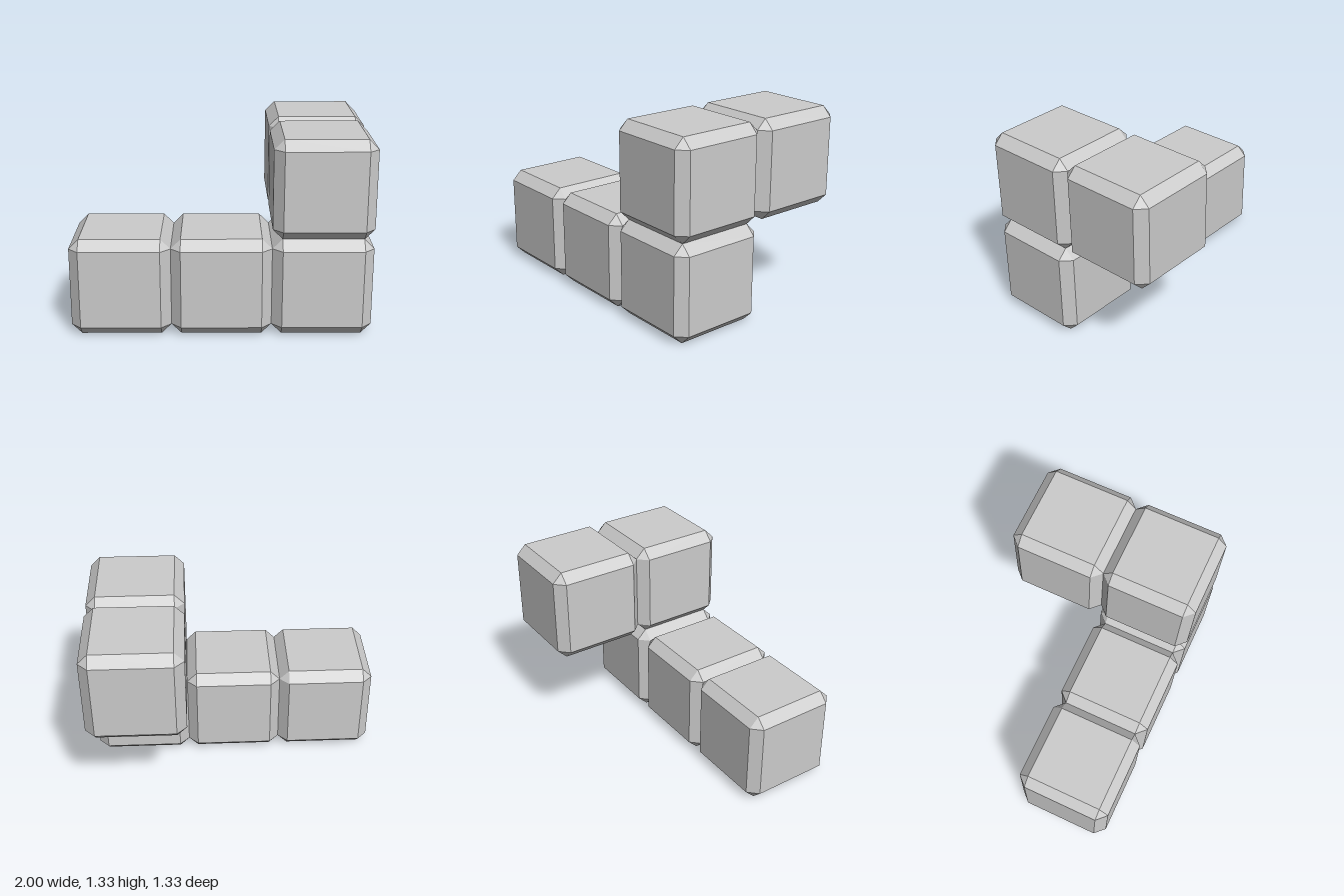
import * as THREE from 'three';
import { ConvexGeometry } from 'three/addons/geometries/ConvexGeometry.js';

const SIZE = 2 / 3;
const BEVEL = SIZE / 10;

// Cube with flat bevelled edges and triangular corner facets
function bevelledCube() {
  const a = SIZE / 2, b = a - BEVEL;
  const points = [];
  for (const x of [-1, 1]) for (const y of [-1, 1]) for (const z of [-1, 1]) {
    points.push(
      new THREE.Vector3(x * a, y * b, z * b),
      new THREE.Vector3(x * b, y * a, z * b),
      new THREE.Vector3(x * b, y * b, z * a)
    );
  }
  return new ConvexGeometry(points);
}

export function createModel() {
  const group = new THREE.Group();
  group.name = 'cubePuzzlePiece';
  const material = new THREE.MeshStandardMaterial({ color: 0xcccccc, flatShading: true });
  const geometry = bevelledCube();

  // Cell centres in units of one cube
  const cells = {
    rightEndCube: [-1, 0.5, 0.5],
    middleCube: [0, 0.5, 0.5],
    cornerCube: [1, 0.5, 0.5],
    upperFrontCube: [1, 1.5, 0.5],
    upperBackCube: [1, 1.5, -0.5],
  };
  for (const [name, cell] of Object.entries(cells)) {
    const cube = new THREE.Mesh(geometry, material);
    cube.name = name;
    cube.position.set(...cell).multiplyScalar(SIZE);
    group.add(cube);
  }
  return group;
}
